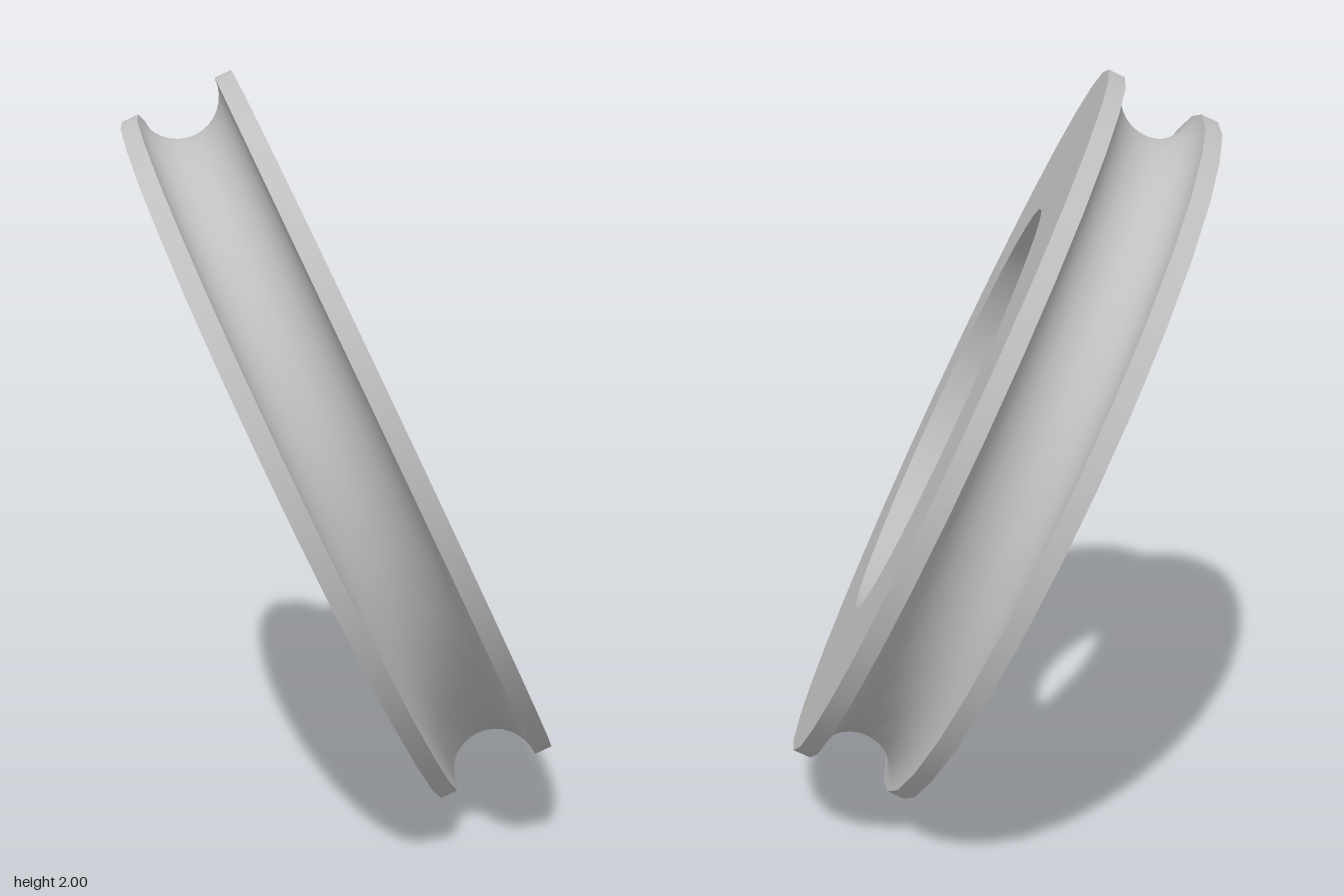
import * as THREE from 'three';

const SEGMENTS = 32;
const R = 1.028;       // rim radius
const HALF = 0.1635;   // half thickness
const GROOVE = 0.115;  // radius of the half-round groove
const RECESS = 0.612;  // recess radius
const BORE = 0.306;    // bore radius
const FLOOR = -0.031;  // height of the recess floor

export function createModel() {
  const metal = new THREE.MeshStandardMaterial({ color: 0xc0c0c0 });
  metal.name = 'grey metal';

  const pulley = new THREE.Group();
  pulley.name = 'pulleyWheel';

  // Each surface is turned separately, so edges between them stay sharp
  const turn = (name, points) => {
    const profile = points.map(([r, y]) => new THREE.Vector2(r, y));
    const mesh = new THREE.Mesh(new THREE.LatheGeometry(profile, SEGMENTS), metal);
    mesh.name = name;
    pulley.add(mesh);
  };

  // Half-round rope groove cut into the rim
  const groove = [];
  for (let i = 0; i <= 16; i++) {
    const a = (i / 16) * Math.PI;
    groove.push([R - GROOVE * Math.sin(a), -GROOVE * Math.cos(a)]);
  }

  // Profile runs from the plain face, over the rim, into the recess and bore
  turn('plainFace', [[BORE, -HALF], [R, -HALF]]);
  turn('plainSideRim', [[R, -HALF], [R, -GROOVE]]);
  turn('ropeGroove', groove);
  turn('recessSideRim', [[R, GROOVE], [R, HALF]]);
  turn('recessFace', [[R, HALF], [RECESS, HALF]]);
  turn('recessWall', [[RECESS, HALF], [RECESS, FLOOR]]);
  turn('recessFloor', [[RECESS, FLOOR], [BORE, FLOOR]]);
  turn('boreWall', [[BORE, FLOOR], [BORE, -HALF]]);

  // Tilt the wheel so its axle points right, up and back
  const axle = new THREE.Vector3(0.798, 0.426, -0.426).normalize();
  const side = new THREE.Vector3().crossVectors(axle, new THREE.Vector3(0, 1, 0)).normalize();
  const rise = new THREE.Vector3().crossVectors(side, axle);
  pulley.quaternion.setFromRotationMatrix(new THREE.Matrix4().makeBasis(side, axle, rise));
  pulley.position.y = 1;

  const model = new THREE.Group();
  model.name = 'model';
  model.add(pulley);
  return model;
}
